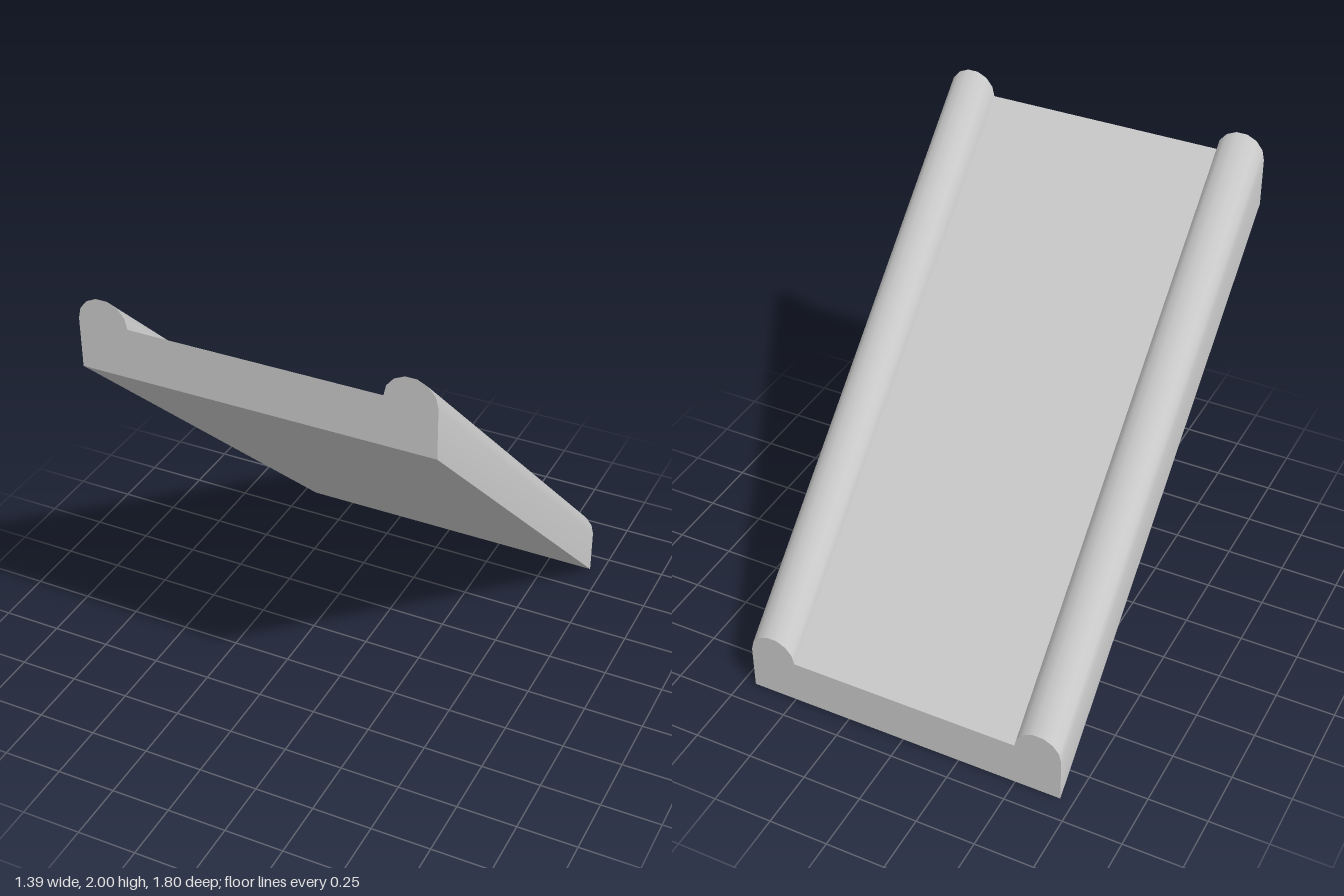
import * as THREE from 'three';
import { toCreasedNormals } from 'three/addons/utils/BufferGeometryUtils.js';

const HALF_W = 0.695, DEPTH = 1.8, RISE = 1.705, DECK = 0.2;
const RAIL_R = 0.1, RAIL_H = 0.097, RAIL_X = HALF_W - RAIL_R, SIDES = 7;

export function createModel() {
  const group = new THREE.Group();
  group.name = 'ramp';

  // cross-section: flat deck with a rounded rail along each side
  const points = [new THREE.Vector2(-HALF_W, 0), new THREE.Vector2(HALF_W, 0)];
  for (const x of [RAIL_X, -RAIL_X]) {
    for (let i = 0; i <= SIDES; i++) {
      const a = (i / SIDES) * Math.PI;
      points.push(new THREE.Vector2(x + RAIL_R * Math.cos(a), DECK + RAIL_H * Math.sin(a)));
    }
  }
  const extruded = new THREE.ExtrudeGeometry(new THREE.Shape(points), { depth: DEPTH, bevelEnabled: false });
  extruded.translate(0, 0, -DEPTH / 2);

  // shear upward towards the front, keeping both ends vertical
  const pos = extruded.attributes.position;
  for (let i = 0; i < pos.count; i++) {
    pos.setY(i, pos.getY(i) + RISE * (pos.getZ(i) / DEPTH + 0.5));
  }
  extruded.computeVertexNormals();

  const material = new THREE.MeshStandardMaterial({ color: 0xcccccc });
  const slope = new THREE.Mesh(toCreasedNormals(extruded, 0.6), material);
  slope.name = 'railedSlope';
  group.add(slope);
  return group;
}
